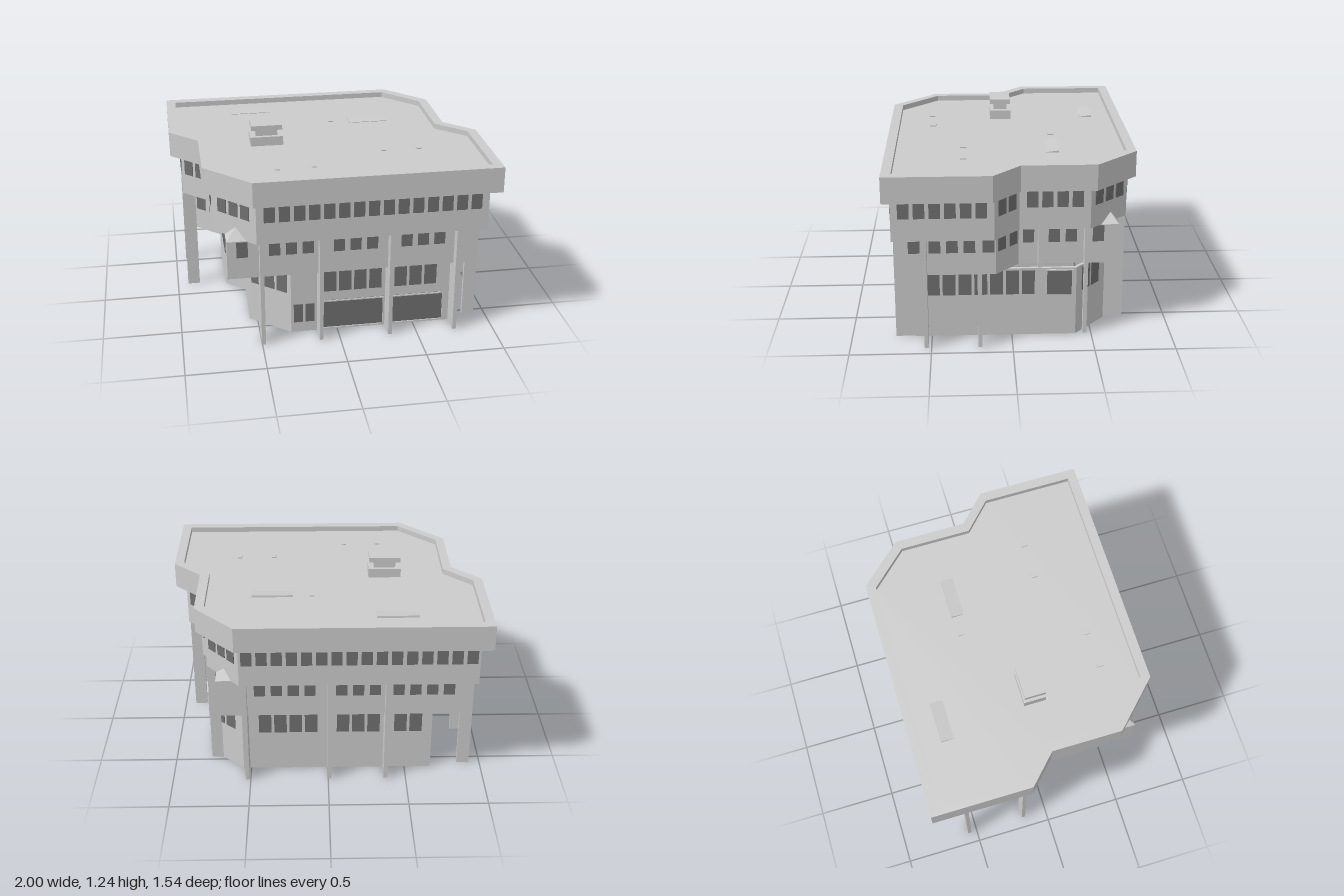
import * as THREE from 'three';
import { ConvexGeometry } from 'three/addons/geometries/ConvexGeometry.js';

const wallMat = new THREE.MeshStandardMaterial({ color: 0xcccccc, side: THREE.DoubleSide });
const glassMat = new THREE.MeshStandardMaterial({ color: 0x707070 });

// Floor plans as corners [x, z]
const roofEdge = [[-1, -0.775], [0.57, -0.775], [0.82, -0.51], [0.82, -0.05], [1, 0.12],
  [1, 0.77], [-0.54, 0.77], [-0.82, 0.49], [-0.82, 0.04], [-1, -0.135]];
const roofInner = [[-0.94, -0.715], [0.54, -0.715], [0.76, -0.485], [0.76, -0.03], [0.94, 0.14],
  [0.94, 0.71], [-0.52, 0.71], [-0.765, 0.47], [-0.765, 0.01], [-0.94, -0.16]];
const topPlan = [[-0.93, -0.725], [0.55, -0.725], [0.765, -0.48], [0.765, -0.045], [0.93, 0.11],
  [0.93, 0.725], [-0.52, 0.725], [-0.77, 0.47], [-0.77, 0.03], [-0.93, -0.12]];
const middlePlan = [[-0.85, -0.665], [0.7, -0.665], [0.7, -0.045], [0.85, 0.1],
  [0.85, 0.665], [-0.7, 0.665], [-0.7, 0.03], [-0.85, -0.11]];
const groundPlan = [[-0.67, -0.6], [0.55, -0.6], [0.77, -0.4], [0.77, 0.6],
  [-0.3, 0.6], [-0.55, 0.39], [-0.54, 0], [-0.67, -0.12]];
const groundInner = [[-0.65, -0.58], [0.54, -0.58], [0.75, -0.39], [0.75, 0.58],
  [-0.295, 0.58], [-0.53, 0.38], [-0.52, -0.01], [-0.65, -0.13]];

const scaled = (plan, k) => plan.map(([x, z]) => [x * k, z * k]);
const toPoints = (plan) => plan.map(([x, z]) => new THREE.Vector2(x, -z));

// Upright prism over a plan, optionally hollow
function prism(name, plan, y0, y1, hole) {
  const shape = new THREE.Shape(toPoints(plan));
  if (hole) shape.holes.push(new THREE.Path(toPoints(hole)));
  const geo = new THREE.ExtrudeGeometry(shape, { depth: y1 - y0, bevelEnabled: false });
  geo.rotateX(-Math.PI / 2);
  const mesh = new THREE.Mesh(geo, wallMat);
  mesh.position.y = y0;
  mesh.name = name;
  return mesh;
}

// Box given by its limits
function box(name, x0, x1, y0, y1, z0, z1, mat = wallMat) {
  const mesh = new THREE.Mesh(new THREE.BoxGeometry(x1 - x0, y1 - y0, z1 - z0), mat);
  mesh.position.set((x0 + x1) / 2, (y0 + y1) / 2, (z0 + z1) / 2);
  mesh.name = name;
  return mesh;
}

// Evenly spaced panes along a wall from a to b
function windowRow(name, a, b, y0, y1, width, pitch, depth = 0.01) {
  const row = new THREE.Group();
  row.name = name;
  const dx = b[0] - a[0], dz = b[1] - a[1], length = Math.hypot(dx, dz);
  const count = Math.max(1, Math.floor((length + pitch - width) / pitch));
  for (let i = 0; i < count; i++) {
    const t = 0.5 + ((i - (count - 1) / 2) * pitch) / length;
    const pane = new THREE.Mesh(new THREE.BoxGeometry(width, y1 - y0, depth), glassMat);
    pane.position.set(a[0] + dx * t, (y0 + y1) / 2, a[1] + dz * t);
    pane.rotation.y = -Math.atan2(dz, dx);
    pane.name = 'windowPane';
    row.add(pane);
  }
  return row;
}

// Large opening with a raised frame; axis is the direction the opening faces
function framedPanel(name, axis, at, u0, u1, y0, y1) {
  const g = new THREE.Group();
  g.name = name;
  const put = (part, a, b, c, d, out, mat) => g.add(axis === 'z'
    ? box(part, a, b, c, d, at - 0.025, at + out, mat)
    : box(part, at - 0.025, at + out, c, d, a, b, mat));
  const t = 0.008;
  put('panel', u0, u1, y0, y1, 0.004, glassMat);
  put('frameTop', u0, u1, y1 - t, y1, 0.011);
  put('frameBottom', u0, u1, y0, y0 + t, 0.011);
  put('frameSide', u0, u0 + t, y0, y1, 0.011);
  put('frameSide', u1 - t, u1, y0, y1, 0.011);
  return g;
}

export function createModel() {
  const model = new THREE.Group();
  model.name = 'building';

  // Hollow storeys, each reaching further out than the one below, with floor rings between
  model.add(prism('groundFloorWalls', groundPlan, 0, 0.455, groundInner));
  model.add(prism('middleFloorSlab', middlePlan, 0.455, 0.465, scaled(groundPlan, 0.75)));
  model.add(prism('middleFloorWalls', middlePlan, 0.46, 0.71, scaled(middlePlan, 0.97)));
  model.add(prism('topFloorSlab', topPlan, 0.71, 0.72, scaled(middlePlan, 0.85)));
  model.add(prism('topFloorWalls', topPlan, 0.715, 0.985, scaled(topPlan, 0.97)));
  model.add(prism('roofParapet', roofEdge, 0.975, 1.14, roofInner));
  model.add(prism('roofDeck', scaled(roofInner, 1.01), 0.977, 1.105));

  // Small sloped roofs where the middle floor corners stick out
  for (const s of [1, -1]) {
    const pts = [[0.7, 0.71, -0.665], [0.57, 0.71, -0.665], [0.7, 0.71, -0.545], [0.635, 0.785, -0.605]];
    const cap = new THREE.Mesh(new ConvexGeometry(
      pts.map(([x, y, z]) => new THREE.Vector3(s * x, y, s * z))), wallMat);
    cap.name = 'cornerRoof';
    model.add(cap);
  }

  // Window bands of the upper floors
  const inset = (a, b, m) => {
    const k = m / Math.hypot(b[0] - a[0], b[1] - a[1]);
    const lerp = (p, q) => [p[0] + (q[0] - p[0]) * k, p[1] + (q[1] - p[1]) * k];
    return [lerp(a, b), lerp(b, a)];
  };
  topPlan.forEach((p, i) => {
    const [a, b] = inset(p, topPlan[(i + 1) % topPlan.length], 0.015);
    model.add(windowRow('topWindows', a, b, 0.855, 0.972, 0.068, 0.092));
  });
  const middleRows = [
    // front and back
    [[-0.68, 0.665], [-0.53, 0.665]], [[-0.45, 0.665], [-0.15, 0.665]],
    [[-0.08, 0.665], [0.29, 0.665]], [[0.37, 0.665], [0.7, 0.665]],
    [[0.06, -0.665], [0.48, -0.665]], [[-0.34, -0.665], [-0.04, -0.665]], [[-0.8, -0.665], [-0.4, -0.665]],
    // left side, notch to rear
    [[0.85, 0.545], [0.85, 0.645]], [[0.85, 0.22], [0.85, 0.51]], [[0.85, 0.1], [0.85, 0.19]],
    [[0.7, -0.045], [0.85, 0.1]], [[0.7, -0.16], [0.7, -0.05]],
    [[0.7, -0.445], [0.7, -0.19]], [[0.7, -0.6], [0.7, -0.475]],
    // right side
    [[-0.85, -0.53], [-0.85, -0.18]], [[-0.85, -0.11], [-0.7, 0.03]], [[-0.7, 0.05], [-0.7, 0.62]],
  ];
  for (const [a, b] of middleRows) {
    model.add(windowRow('middleWindows', a, b, 0.6, 0.705, 0.07, 0.105));
  }

  // Ground floor windows
  const groundRows = [
    [[-0.1, 0.59], [0.3, 0.59]], [[0.36, 0.59], [0.66, 0.59]],
    [[0.76, -0.15], [0.76, 0.535]], [[0.555, -0.582], [0.755, -0.4]],
    [[-0.63, -0.59], [-0.4, -0.59]], [[-0.34, -0.59], [-0.05, -0.59]], [[0.02, -0.59], [0.49, -0.59]],
    [[-0.66, -0.57], [-0.66, -0.15]], [[-0.655, -0.12], [-0.535, -0.005]],
    [[-0.533, 0.03], [-0.54, 0.37]], [[-0.54, 0.385], [-0.3, 0.587]],
  ];
  for (const [a, b] of groundRows) {
    model.add(windowRow('groundWindows', a, b, 0.28, 0.44, 0.08, 0.098, 0.025));
  }
  model.add(windowRow('lowWindows', [-0.29, 0.59], [-0.14, 0.59], 0.07, 0.2, 0.06, 0.075, 0.025));

  // Garage doors and the large side window
  model.add(framedPanel('garageDoor', 'z', 0.6, -0.1, 0.305, 0.01, 0.215));
  model.add(framedPanel('garageDoor', 'z', 0.6, 0.345, 0.7, 0.01, 0.215));
  model.add(framedPanel('sideWindow', 'x', 0.768, -0.38, -0.21, 0.265, 0.445));

  // Thin support fins around the outside
  const half = 0.0125;
  for (const x of [-0.49, -0.12, 0.325, 0.75]) {
    model.add(box('frontFin', x - half, x + half, 0, 0.712, 0.6, 0.725));
  }
  for (const x of [-0.37, -0.01, 0.52]) {
    model.add(box('backFin', x - half, x + half, 0, 0.712, -0.725, -0.6));
  }
  for (const z of [0.53, 0.2]) {
    model.add(box('leftFin', 0.85, 0.93, 0, 0.712, z - half, z + half));
  }
  for (const z of [-0.175, -0.46]) {
    model.add(box('leftFin', 0.68, 0.765, 0, 0.712, z - half, z + half));
  }
  for (const z of [-0.55, -0.16]) {
    model.add(box('rightFin', -0.93, -0.85, 0, 0.712, z - half, z + half));
  }

  // Roof vent: base, neck and cap
  const vent = new THREE.Group();
  vent.name = 'roofVent';
  vent.add(box('ventBase', -0.485, -0.275, 1.1, 1.165, -0.035, 0.105));
  vent.add(box('ventNeck', -0.45, -0.31, 1.16, 1.215, -0.01, 0.08));
  vent.add(box('ventCap', -0.48, -0.28, 1.21, 1.242, -0.03, 0.105));
  model.add(vent);

  // Low tilted hatches and small pipes on the deck
  for (const [x, z] of [[-0.43, -0.55], [0.345, -0.265]]) {
    const hatch = box('roofHatch', x - 0.13, x + 0.13, 1.09, 1.113, z - 0.04, z + 0.04);
    hatch.rotation.x = 0.12;
    model.add(hatch);
  }
  for (const [x, z] of [[0.095, -0.28], [-0.36, 0.5], [-0.13, 0.49], [0.345, 0.29], [0.575, 0.29]]) {
    model.add(box('roofPipe', x - 0.015, x + 0.015, 1.1, 1.112, z - 0.02, z + 0.02));
  }
  return model;
}
